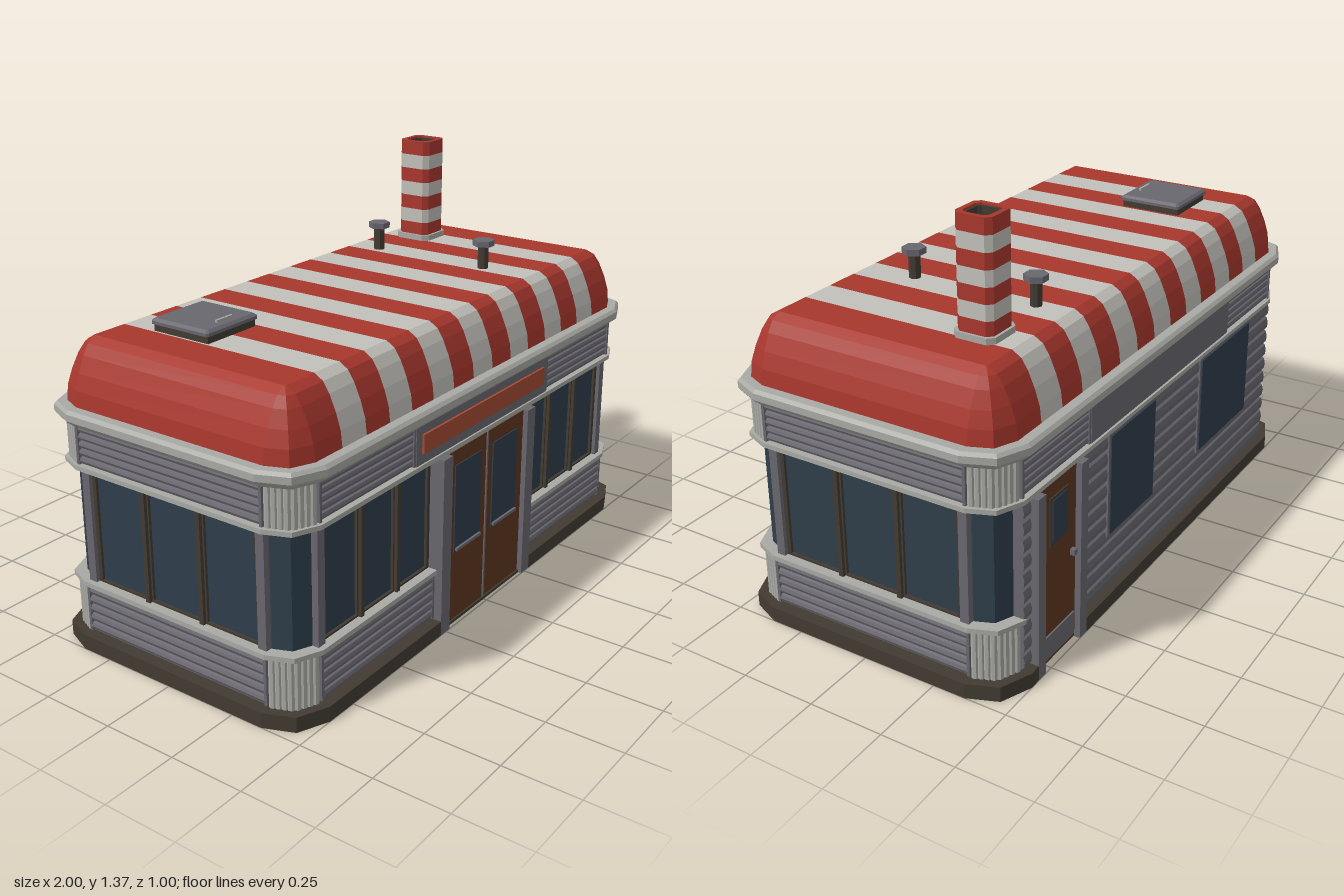
import * as THREE from 'three';

const mat = (name, color, extra = {}) => {
  const m = new THREE.MeshStandardMaterial({ color, flatShading: true, ...extra });
  m.name = name;
  return m;
};

export function createModel() {
  const model = new THREE.Group();
  model.name = 'diner';
  const red = mat('awning red', 0xa8372d), white = mat('awning white', 0xc2c0ba);
  const chrome = mat('light trim', 0xa9aaa4), grey = mat('grey metal', 0x69676e);
  const dark = mat('dark bronze', 0x423b32), glass = mat('window glass', 0x2f3e4b);
  const wood = mat('door brown', 0x5e3820), sign = mat('sign orange', 0xa34a32);

  const add = (parent, name, geo, m, x = 0, y = 0, z = 0) => {
    const mesh = new THREE.Mesh(geo, m);
    mesh.name = name;
    mesh.position.set(x, y, z);
    parent.add(mesh);
    return mesh;
  };
  // box given by its limits
  const box = (parent, name, m, x0, x1, y0, y1, z0, z1) =>
    add(parent, name, new THREE.BoxGeometry(x1 - x0, y1 - y0, z1 - z0), m,
      (x0 + x1) / 2, (y0 + y1) / 2, (z0 + z1) / 2);

  // footprint with two-facet corners, counterclockwise from above
  const corner = i => [[0.86, 0.5 - i], [0.96 - i * 0.71, 0.457 - i * 0.71], [1 - i, 0.36]];
  const footprint = i => {
    const c = corner(i), r = [...c].reverse();
    return [...c, ...r.map(([x, z]) => [x, -z]), ...c.map(([x, z]) => [-x, -z]), ...r.map(([x, z]) => [-x, z])];
  };
  // closed solid through convex rings, each { pts, y }
  const loft = rings => {
    const pos = [], n = rings[0].pts.length;
    const v = (r, i) => [r.pts[i % n][0], r.y, r.pts[i % n][1]];
    for (let k = 0; k + 1 < rings.length; k++) {
      const a = rings[k], b = rings[k + 1];
      for (let i = 0; i < n; i++) {
        pos.push(...v(a, i), ...v(a, i + 1), ...v(b, i + 1), ...v(a, i), ...v(b, i + 1), ...v(b, i));
      }
    }
    const lo = rings[0], hi = rings[rings.length - 1];
    for (let i = 1; i + 1 < n; i++) {
      pos.push(...v(hi, 0), ...v(hi, i), ...v(hi, i + 1), ...v(lo, 0), ...v(lo, i + 1), ...v(lo, i));
    }
    const g = new THREE.BufferGeometry();
    g.setAttribute('position', new THREE.Float32BufferAttribute(pos, 3));
    g.computeVertexNormals();
    return g;
  };
  const band = levels => loft(levels.map(([i, y]) => ({ pts: footprint(i), y })));
  // slab from a plan outline, with optional hole
  const slab = (pts, h, hole) => {
    const toV = p => p.map(([x, z]) => new THREE.Vector2(x, -z));
    const s = new THREE.Shape(toV(pts));
    if (hole) s.holes.push(new THREE.Path(toV(hole)));
    return new THREE.ExtrudeGeometry(s, { depth: h, bevelEnabled: false }).rotateX(-Math.PI / 2);
  };
  // footprint cut away at the front and back doorways
  const notched = (i, b0, b1, depth) => {
    const p = footprint(i), z = 0.5 - i;
    return [...p.slice(0, 6), [b1, -z], [b1, -depth], [b0, -depth], [b0, -z], ...p.slice(6),
      [-0.28, z], [-0.28, depth], [0.28, depth], [0.28, z]];
  };

  // base, walls and trims
  add(model, 'base', slab(notched(0, 0.54, 0.82, 0.44), 0.05), dark);
  add(model, 'lowerWall', band([[0.042, 0.05], [0.042, 0.215]]), grey);
  add(model, 'windowBand', band([[0.06, 0.215], [0.06, 0.61]]), glass);
  add(model, 'upperWall', band([[0.042, 0.61], [0.042, 0.76]]), grey);
  add(model, 'sill', slab(notched(0.02, -0.855, 0.855, 0.43), 0.016), chrome, 0, 0.213);
  add(model, 'upperTrim', band([[0.02, 0.605], [0.02, 0.62]]), chrome);
  add(model, 'cornice', band([[0.025, 0.745], [0.012, 0.757], [0.006, 0.76], [0, 0.768], [0, 0.79], [0.01, 0.8]]), chrome);

  // fluted corner columns
  const flutes = new THREE.Group();
  flutes.name = 'cornerFlutes';
  model.add(flutes);
  const c = corner(0.042);
  for (const sx of [-1, 1]) for (const sz of [-1, 1]) for (const [y0, y1] of [[0.05, 0.213], [0.62, 0.748]]) {
    for (let s = 0; s < 2; s++) for (let k = 0; k < 4; k++) {
      const t = (k + 0.5) / 4;
      add(flutes, 'flute', new THREE.CylinderGeometry(0.012, 0.012, y1 - y0, 8), chrome,
        sx * THREE.MathUtils.lerp(c[s][0], c[s + 1][0], t), (y0 + y1) / 2,
        sz * THREE.MathUtils.lerp(c[s][1], c[s + 1][1], t));
    }
  }

  // wall details are built facing +z, then turned to their side
  const side = (name, turn) => {
    const g = new THREE.Group();
    g.name = name;
    g.rotation.y = turn;
    model.add(g);
    return g;
  };
  const ribs = (g, u0, u1, y0, y1, z, n = 5) => {
    const h = (y1 - y0) / n;
    for (let i = 0; i < n; i++) {
      add(g, 'rib', new THREE.CylinderGeometry(h * 0.48, h * 0.48, u1 - u0, 8).rotateZ(Math.PI / 2), grey,
        (u0 + u1) / 2, y0 + h * (i + 0.5), z);
    }
    for (const u of [u0, u1]) box(g, 'ribEnd', grey, u - 0.005, u + 0.005, y0, y1, z, z + 0.014);
  };
  const windows = (g, u0, u1, z) => {
    const s = new THREE.Shape([[u0, 0.225], [u1, 0.225], [u1, 0.606], [u0, 0.606]].map(p => new THREE.Vector2(...p)));
    const w = (u1 - u0) / 3;
    for (let i = 0; i < 3; i++) {
      const a = u0 + i * w + 0.014, b = u0 + (i + 1) * w - 0.014;
      s.holes.push(new THREE.Path([[a, 0.236], [a, 0.596], [b, 0.596], [b, 0.236]].map(p => new THREE.Vector2(...p))));
      if (i) box(g, 'mullion', dark, u0 + i * w - 0.008, u0 + i * w + 0.008, 0.225, 0.606, z, z + 0.02);
    }
    add(g, 'windowFrame', new THREE.ExtrudeGeometry(s, { depth: 0.009, bevelEnabled: false }), dark, 0, 0, z);
  };
  const post = (g, u0, u1, z) => box(g, 'windowPost', grey, u0, u1, 0.225, 0.606, z - 0.01, z + 0.022);

  // ends
  for (const s of [-1, 1]) {
    const g = side(s > 0 ? 'leftEnd' : 'rightEnd', s * Math.PI / 2);
    ribs(g, -0.355, 0.355, 0.056, 0.21, 0.958);
    ribs(g, -0.355, 0.355, 0.622, 0.748, 0.958);
    windows(g, -0.325, 0.325, 0.94);
    post(g, -0.355, -0.325, 0.94);
    post(g, 0.325, 0.355, 0.94);
  }

  // front
  const front = side('front', 0);
  for (const s of [-1, 1]) {
    const span = (a, b) => s > 0 ? [a, b] : [-b, -a];
    ribs(front, ...span(0.285, 0.855), 0.056, 0.21, 0.458);
    ribs(front, ...span(0.4, 0.855), 0.622, 0.748, 0.458);
    windows(front, ...span(0.28, 0.828), 0.44);
    post(front, ...span(0.828, 0.86), 0.44);
    box(front, 'doorPillar', grey, ...span(0.23, 0.28), 0, 0.607, 0.43, 0.5);
    box(front, 'door', wood, ...span(0.003, 0.23), 0.008, 0.605, 0.43, 0.482);
    box(front, 'doorGlass', glass, ...span(0.036, 0.19), 0.25, 0.555, 0.48, 0.486);
    box(front, 'doorHandle', grey, ...span(0.04, 0.186), 0.258, 0.268, 0.484, 0.494);
  }
  box(front, 'doorSeam', grey, -0.004, 0.004, 0.008, 0.605, 0.43, 0.486);
  box(front, 'threshold', dark, -0.23, 0.23, 0, 0.01, 0.43, 0.488);
  box(front, 'signPanel', grey, -0.395, 0.395, 0.62, 0.75, 0.45, 0.474);
  box(front, 'signBoard', sign, -0.365, 0.365, 0.655, 0.717, 0.474, 0.482);

  // back: lap siding, service door and two windows
  const back = side('back', Math.PI);
  const boards = 10, bh = 0.556 / boards, lap = [[0.43, 0.05]];
  for (let i = 0; i < boards; i++) {
    const y = 0.05 + i * bh;
    lap.push([0.462, y], [0.474, y + bh * 0.15], [0.477, y + bh * 0.5], [0.472, y + bh * 0.85]);
  }
  lap.push([0.462, 0.606], [0.43, 0.606]);
  const lapShape = new THREE.Shape(lap.map(p => new THREE.Vector2(...p)));
  for (const [u0, u1] of [[-0.86, -0.82], [-0.54, 0.86]]) {
    add(back, 'siding', new THREE.ExtrudeGeometry(lapShape, { depth: u1 - u0, bevelEnabled: false }).rotateY(-Math.PI / 2), grey, u1);
  }
  for (const [u0, u1] of [[-0.82, -0.78], [-0.58, -0.54]]) box(back, 'backDoorPillar', grey, u0, u1, 0, 0.607, 0.43, 0.5);
  box(back, 'backDoor', wood, -0.78, -0.58, 0.005, 0.605, 0.43, 0.48);
  box(back, 'kickPlate', grey, -0.77, -0.59, 0.02, 0.1, 0.478, 0.485);
  box(back, 'backDoorGlassFrame', dark, -0.73, -0.63, 0.4, 0.56, 0.478, 0.484);
  box(back, 'backDoorGlass', glass, -0.72, -0.64, 0.41, 0.55, 0.48, 0.487);
  box(back, 'backDoorKnob', grey, -0.61, -0.594, 0.31, 0.33, 0.48, 0.495);
  for (const [u0, u1] of [[-0.37, -0.08], [0.27, 0.66]]) {
    box(back, 'backWindowFrame', grey, u0 - 0.01, u1 + 0.01, 0.245, 0.606, 0.45, 0.48);
    box(back, 'backWindowGlass', glass, u0, u1, 0.255, 0.598, 0.478, 0.484);
  }
  box(back, 'backPanel', grey, -0.48, 0.48, 0.622, 0.75, 0.45, 0.474);
  ribs(back, -0.855, -0.485, 0.622, 0.748, 0.458);
  ribs(back, 0.485, 0.855, 0.622, 0.748, 0.458);

  // striped domed roof
  const dome = [[0.04, 0.797], [0.046, 0.85], [0.062, 0.9], [0.084, 0.95], [0.105, 0.982], [0.135, 1]];
  const edge = 0.74, stripe = 2 * edge / 13;
  for (let k = 0; k < 13; k++) {
    const x0 = -edge + k * stripe, x1 = x0 + stripe;
    add(model, 'roofStripe', loft(dome.map(([i, y]) => {
      const z = 0.5 - i;
      return { pts: [[x1, z], [x1, -z], [x0, -z], [x0, z]], y };
    })), k % 2 ? red : white);
  }
  for (const s of [-1, 1]) {
    const end = add(model, 'roofEnd', loft(dome.map(([i, y]) => (
      { pts: [[edge, 0.5 - i], ...footprint(i).slice(0, 6), [edge, i - 0.5]], y }))), red);
    if (s < 0) end.rotation.y = Math.PI;
  }

  // striped hollow chimney
  const square = (r, k = r * 0.72) => [[k, r], [r, k], [r, -k], [k, -r], [-k, -r], [-r, -k], [-r, k], [-k, r]];
  const chimney = new THREE.Group();
  chimney.name = 'chimney';
  chimney.position.set(0.685, 0, -0.24);
  model.add(chimney);
  add(chimney, 'collar', slab(square(0.07), 0.025), chrome, 0, 0.995);
  for (let i = 0; i < 7; i++) {
    add(chimney, 'chimneyStripe', slab(square(0.061), 0.05, square(0.044)), i % 2 ? white : red, 0, 1.015 + i * 0.05);
  }
  add(chimney, 'flueLiner', slab(square(0.045), 0.34, square(0.036)), dark, 0, 1.02);
  add(chimney, 'flueFloor', slab(square(0.04), 0.01), dark, 0, 1.28);

  // roof vents
  for (const z of [0.185, -0.255]) {
    add(model, 'ventPipe', new THREE.CylinderGeometry(0.019, 0.019, 0.09, 8), dark, 0.435, 1.04, z);
    add(model, 'ventCap', new THREE.CylinderGeometry(0.038, 0.038, 0.02, 6).rotateY(Math.PI / 6), grey, 0.435, 1.09, z);
  }

  // roof hatch
  const hatch = new THREE.Group();
  hatch.name = 'hatch';
  hatch.position.set(-0.628, 0, -0.138);
  model.add(hatch);
  box(hatch, 'hatchCurb', dark, -0.105, 0.105, 0.995, 1.028, -0.107, 0.107);
  add(hatch, 'hatchLid', loft([[0.114, 1.024], [0.114, 1.034], [0.104, 1.042]].map(([r, y]) => ({ pts: square(r, r * 0.94), y }))), grey);
  box(hatch, 'hatchHandle', chrome, -0.035, 0.035, 1.042, 1.05, 0.074, 0.082);
  return model;
}
